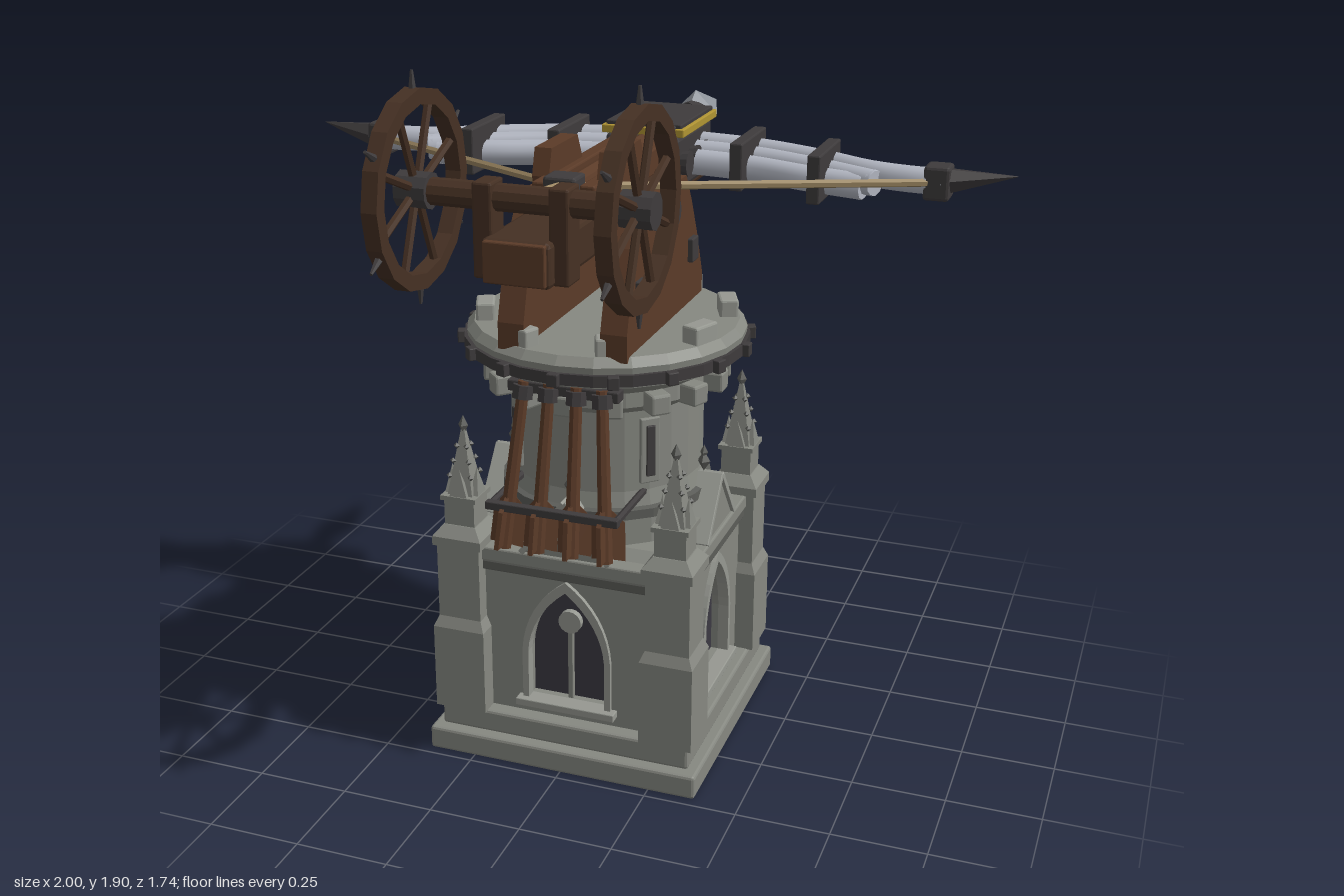
import * as THREE from 'three';
import { RoundedBoxGeometry } from 'three/addons/geometries/RoundedBoxGeometry.js';

const mat = (color, smooth) => new THREE.MeshStandardMaterial({ color, flatShading: !smooth });
const STONE = mat(0x868881), PALE = mat(0x969891), SHADE = mat(0x5c5d59), WOOD = mat(0x5b3b28), DARKWOOD = mat(0x453023),
  IRON = mat(0x3e3b3c), STEEL = mat(0x8d9299), HORN = mat(0xb3b7c2, true), GLASS = mat(0x3b3942),
  ROPE = mat(0x9a8560), GOLD = mat(0xb09433), BONE = mat(0xd8cdae, true);
const CZ = 0.095; // tower axis
const V = (x, y, z) => new THREE.Vector3(x, y, z);

function add(parent, name, geo, material, x = 0, y = 0, z = 0) {
  const m = new THREE.Mesh(geo, material);
  m.name = name;
  m.position.set(x, y, z);
  parent.add(m);
  return m;
}
function sub(parent, name, x = 0, y = 0, z = 0) {
  const g = new THREE.Group();
  g.name = name;
  g.position.set(x, y, z);
  parent.add(g);
  return g;
}
// Box with slightly chamfered edges
const box = (w, h, d) => new RoundedBoxGeometry(w, h, d, 1, Math.min(w, h, d, 0.1) * 0.12);
// Square frustum standing on y = 0
const frustum = (wTop, wBase, h) => new THREE.CylinderGeometry(wTop * Math.SQRT1_2, wBase * Math.SQRT1_2, h, 4)
  .rotateY(Math.PI / 4).translate(0, h / 2, 0);
// Rod between two points
function rod(parent, name, a, b, rA, rB, material, sides = 8) {
  const m = add(parent, name, new THREE.CylinderGeometry(rB, rA, a.distanceTo(b), sides), material);
  m.position.copy(a).lerp(b, 0.5);
  m.quaternion.setFromUnitVectors(V(0, 1, 0), b.clone().sub(a).normalize());
  return m;
}
const extrude = (shape, depth, curveSegments = 8) => new THREE.ExtrudeGeometry(shape, { depth, bevelEnabled: false, curveSegments });
// Outline given as [z, y], extruded across x and centred
const sidePlate = (pts, depth) => extrude(new THREE.Shape(pts.map(p => new THREE.Vector2(...p))), depth)
  .translate(0, 0, -depth / 2).rotateY(-Math.PI / 2);
// Pointed arch outline
function arch(Type, w, y0, ySpring, yTop) {
  const s = new Type();
  s.moveTo(-w, y0);
  s.lineTo(w, y0);
  s.lineTo(w, ySpring);
  s.quadraticCurveTo(w * 0.93, yTop - 0.08, 0, yTop);
  s.quadraticCurveTo(-w * 0.93, yTop - 0.08, -w, ySpring);
  s.closePath();
  return s;
}
function skull(parent, x, y, z) {
  const g = sub(parent, 'skull', x, y, z);
  add(g, 'cranium', new THREE.SphereGeometry(0.05, 14, 10).scale(0.95, 0.95, 1.15), BONE, 0, 0.01, 0);
  add(g, 'jaw', box(0.055, 0.045, 0.05), BONE, 0, -0.04, -0.027);
  add(g, 'nose', new THREE.ConeGeometry(0.008, 0.02, 3), IRON, 0, -0.018, -0.052);
  for (const s of [-1, 1]) add(g, 'eyeSocket', new THREE.SphereGeometry(0.014, 8, 6), IRON, s * 0.02, 0.003, -0.047);
}

// One wall with window, cornice and gable, facing +z
function wallFace(parent, k) {
  const f = sub(parent, 'wallFace');
  f.rotation.y = k * Math.PI / 2;
  const wall = new THREE.Shape([[-0.31, 0.13], [0.31, 0.13], [0.31, 0.6], [-0.31, 0.6]].map(p => new THREE.Vector2(...p)));
  wall.holes.push(arch(THREE.Path, 0.11, 0.18, 0.32, 0.515));
  add(f, 'wall', extrude(wall, 0.05), STONE, 0, 0, 0.26);
  const frame = arch(THREE.Shape, 0.125, 0.17, 0.32, 0.54);
  frame.holes.push(arch(THREE.Path, 0.108, 0.18, 0.32, 0.51));
  add(f, 'windowFrame', extrude(frame, 0.03), PALE, 0, 0, 0.292);
  add(f, 'windowSill', box(0.28, 0.022, 0.05), PALE, 0, 0.17, 0.315);
  add(f, 'windowPane', extrude(arch(THREE.Shape, 0.115, 0.17, 0.32, 0.52), 0.01), GLASS, 0, 0, 0.262);
  if (k === 2) skull(f.parent, 0, 0.275, -0.29);
  else {
    add(f, 'mullion', box(0.014, 0.22, 0.015), STONE, 0, 0.29, 0.282);
    add(f, 'roundel', new THREE.CylinderGeometry(0.032, 0.032, 0.018, 16).rotateX(Math.PI / 2), PALE, 0, 0.41, 0.284);
  }
  add(f, 'corniceShadow', box(0.5, 0.028, 0.03), SHADE, 0, 0.558, 0.31);
  add(f, 'cornice', box(0.56, 0.04, 0.06), STONE, 0, 0.592, 0.3);
  const gable = new THREE.Shape([[-0.12, 0.61], [0.12, 0.61], [0, 0.765]].map(p => new THREE.Vector2(...p)));
  add(f, 'gable', extrude(gable, 0.09), STONE, 0, 0, 0.23);
  for (const s of [-1, 1]) {
    const c = add(f, 'gableCoping', box(0.2, 0.016, 0.11), PALE, s * 0.061, 0.69, 0.275);
    c.rotation.z = -s * 0.912;
  }
  add(f, 'gableFinial', new THREE.OctahedronGeometry(0.018).scale(1, 1.6, 1), SHADE, 0, 0.8, 0.275);
  add(f, 'gableFinialTip', new THREE.OctahedronGeometry(0.011).scale(1, 2, 1), SHADE, 0, 0.825, 0.275);
}

// Stepped corner buttress with a pinnacle
function buttress(parent, sx, sz) {
  const b = sub(parent, 'buttress', sx * 0.292, 0, sz * 0.292);
  const steps = [[0.145, 0.145, 0.13, 0.37], [0.12, 0.145, 0.37, 0.4], [0.12, 0.12, 0.4, 0.61], [0.138, 0.138, 0.61, 0.635],
    [0.09, 0.138, 0.635, 0.665], [0.085, 0.085, 0.665, 0.735], [0.1, 0.1, 0.735, 0.748], [0.008, 0.07, 0.748, 0.93]];
  for (const [wt, wb, y0, y1] of steps) add(b, 'buttressStage', frustum(wt, wb, y1 - y0), STONE, 0, y0, 0);
  add(b, 'finial', new THREE.OctahedronGeometry(0.014).scale(1, 2, 1), SHADE, 0, 0.935, 0);
  for (let i = 0; i < 4; i++) {
    const side = sub(b, 'pinnacleSide');
    side.rotation.y = i * Math.PI / 2;
    add(side, 'gablet', new THREE.ConeGeometry(0.035, 0.075, 4).rotateY(Math.PI / 4).scale(1, 1, 0.5), STONE, 0, 0.785, 0.035);
    for (let j = 0; j < 3; j++) {
      const r = 0.03 - j * 0.008;
      add(side, 'crocket', new THREE.OctahedronGeometry(0.009), SHADE, r, 0.8 + j * 0.04, r);
    }
  }
}

function buildTower(root) {
  const t = sub(root, 'tower', 0, 0, CZ);
  add(t, 'plinthLower', box(0.76, 0.066, 0.76), STONE, 0, 0.033, 0);
  add(t, 'plinthUpper', box(0.705, 0.064, 0.705), STONE, 0, 0.1, 0);
  add(t, 'core', new THREE.BoxGeometry(0.53, 0.48, 0.53), STONE, 0, 0.37, 0);
  add(t, 'roof', frustum(0.5, 0.6, 0.035), STONE, 0, 0.6, 0);
  for (let k = 0; k < 4; k++) wallFace(t, k);
  for (const sx of [-1, 1]) for (const sz of [-1, 1]) buttress(t, sx, sz);
  const ring = (pts, m, name) => add(t, name, new THREE.LatheGeometry(pts.map(p => new THREE.Vector2(...p)), 24), m);
  ring([[0.275, 0.6], [0.275, 0.71], [0.26, 0.78], [0.26, 1.0], [0.282, 1.02], [0.282, 1.06],
    [0.325, 1.09], [0.365, 1.105], [0.372, 1.16], [0.352, 1.182], [0, 1.182]], STONE, 'drum');
  ring([[0.262, 0.705], [0.285, 0.71], [0.285, 0.735], [0.262, 0.74]], SHADE, 'drumBand');
  ring([[0.36, 1.113], [0.38, 1.113], [0.38, 1.143], [0.36, 1.143]], IRON, 'ironHoop');
  const around = (n, off, fn) => {
    for (let i = 0; i < n; i++) {
      const g = sub(t, 'radialSlot');
      g.rotation.y = (i + off) * 2 * Math.PI / n;
      fn(g);
    }
  };
  around(16, 0, g => {
    add(g, 'corbel', box(0.055, 0.055, 0.06), STONE, 0, 1.035, 0.3);
    add(g, 'hoopBolt', box(0.03, 0.034, 0.024), IRON, 0, 1.128, 0.384);
  });
  around(8, 0.5, g => add(g, 'parapetBlock', box(0.085, 0.055, 0.05), PALE, 0, 1.2, 0.32));
  around(4, 0.5, g => {
    add(g, 'slitFrame', box(0.055, 0.18, 0.03), STONE, 0, 0.89, 0.252);
    add(g, 'arrowSlit', box(0.025, 0.14, 0.02), IRON, 0, 0.89, 0.262);
  });
}

// Rack of spare bolts hanging at the front
function buildRack(root) {
  const r = sub(root, 'boltRack');
  [[-0.105, -0.14], [-0.037, -0.047], [0.037, 0.047], [0.105, 0.14]].forEach(([xt, xb]) => {
    const top = V(xt, 1.09, 0.415), low = V(xb, 0.655, 0.488);
    rod(r, 'boltShaft', low, top, 0.02, 0.016, WOOD);
    rod(r, 'boltCollar', top.clone().lerp(low, 0.1), top.clone().lerp(low, 0.02), 0.028, 0.028, IRON);
    const shape = new THREE.Shape([[0, 0], [0.05, -0.01], [0.05, 0.09], [0, 0.14]].map(p => new THREE.Vector2(...p)));
    for (let i = 0; i < 3; i++) {
      const holder = sub(r, 'fletching', xb, 0.668, 0.486);
      holder.quaternion.setFromUnitVectors(V(0, 1, 0), top.clone().sub(low).normalize());
      add(holder, 'vane', extrude(shape, 0.012).translate(0, 0, -0.006), WOOD).rotation.y = -Math.PI / 2 + i * 2.094;
    }
  });
  add(r, 'rackBar', box(0.36, 0.022, 0.022), IRON, 0, 0.775, 0.5);
  add(r, 'rackTopBar', box(0.3, 0.03, 0.04), IRON, 0, 1.075, 0.4);
  for (const s of [-1, 1]) rod(r, 'rackBracket', V(s * 0.17, 0.775, 0.5), V(s * 0.17, 0.775, 0.27), 0.01, 0.01, IRON, 6);
}

function buildWheel(root, s) {
  const w = sub(root, 'wheel', s * 0.277, 1.62, 0.63);
  w.rotation.y = Math.PI / 2;
  const rim = new THREE.Shape().absarc(0, 0, 0.24, 0, Math.PI * 2, false);
  rim.holes.push(new THREE.Path().absarc(0, 0, 0.202, 0, Math.PI * 2, true));
  add(w, 'rim', extrude(rim, 0.04, 8).translate(0, 0, -0.02), DARKWOOD);
  add(w, 'hub', new THREE.CylinderGeometry(0.045, 0.045, 0.08, 10).rotateX(Math.PI / 2), IRON);
  for (let i = 0; i < 8; i++) {
    const a = (i + 0.5) * Math.PI / 4;
    rod(w, 'spoke', V(0, 0, 0), V(Math.cos(a) * 0.21, Math.sin(a) * 0.21, 0), 0.011, 0.011, DARKWOOD, 6);
  }
  for (let i = 0; i < 6; i++) {
    const a = (i + 0.5) * Math.PI / 3, p = r => V(Math.cos(a) * r, Math.sin(a) * r, 0);
    rod(w, 'rimSpike', p(0.23), p(0.28), 0.011, 0.004, IRON, 6);
  }
}

// One side of the bow: three layered staves, clamps, tip and string
function buildArm(root, s) {
  const a = sub(root, 'bowArm');
  const paths = [
    [[0.05, -0.4], [0.28, -0.375], [0.48, -0.305], [0.62, -0.235], [0.72, -0.215], [0.82, -0.215]],
    [[0.05, -0.345], [0.28, -0.325], [0.48, -0.255], [0.64, -0.18]],
    [[0.05, -0.285], [0.28, -0.265], [0.45, -0.215], [0.61, -0.18]]];
  paths.forEach((p, i) => {
    const c = new THREE.CatmullRomCurve3(p.map(([x, z]) => V(s * x, 1.545 - x * 0.012 - i * 0.012, z)));
    add(a, 'stave', new THREE.TubeGeometry(c, 24, 0.036, 10), HORN);
    const e = c.getPoint(1), back = c.getPoint(0.98);
    rod(a, 'staveEnd', back, e.clone().add(e.clone().sub(back).multiplyScalar(0.2)), 0.036, 0.034, HORN, 10);
  });
  add(a, 'clamp', box(0.036, 0.13, 0.24), IRON, s * 0.262, 1.535, -0.305);
  add(a, 'clamp', box(0.036, 0.13, 0.23), IRON, s * 0.492, 1.535, -0.23);
  add(a, 'tipBlock', box(0.068, 0.09, 0.075), IRON, s * 0.8, 1.535, -0.217);
  rod(a, 'tipSpike', V(s * 0.83, 1.54, -0.217), V(s * 1, 1.56, -0.235), 0.035, 0.001, IRON, 6);
  rod(a, 'bowString', V(s * 0.79, 1.535, -0.2), V(0, 1.595, 0.39), 0.011, 0.011, ROPE, 6);
}

function buildBallista(root) {
  const b = sub(root, 'ballista');
  const plate = [[0.42, 1.17], [0.42, 1.24], [0.39, 1.34], [0.345, 1.44], [0.275, 1.54], [-0.04, 1.54],
    [-0.09, 1.46], [-0.14, 1.36], [-0.19, 1.24], [-0.19, 1.17]];
  const cheek = [[0.3, 1.44], [0.335, 1.6], [0.315, 1.668], [0.14, 1.668], [0.105, 1.6], [0.08, 1.44]];
  for (const s of [-1, 1]) {
    add(b, 'sidePlate', sidePlate(plate, 0.07), WOOD, s * 0.137, 0, 0);
    add(b, 'cheek', sidePlate(cheek, 0.045), WOOD, s * 0.085, 0, 0);
    for (const z of [0.335, -0.085]) add(b, 'plateBolt', box(0.03, 0.065, 0.05), IRON, s * 0.172, 1.33, z);
    buildWheel(b, s);
    buildArm(b, s);
    // rails, axle brackets and head bosses
    add(b, 'rail', box(0.04, 0.07, 0.91), WOOD, s * 0.062, 1.568, -0.055);
    add(b, 'axleBracket', box(0.05, 0.23, 0.075), DARKWOOD, s * 0.095, 1.545, 0.63);
    for (const z of [-0.21, -0.285, -0.37])
      add(b, 'headBoss', new THREE.CylinderGeometry(0.03, 0.036, 0.03, 12).rotateZ(Math.PI / 2), IRON, s * 0.112, 1.53, z);
  }
  add(b, 'pivot', new THREE.CylinderGeometry(0.04, 0.04, 0.38, 12).rotateZ(Math.PI / 2), IRON, 0, 1.475, CZ);
  add(b, 'stock', box(0.17, 0.11, 1.21), DARKWOOD, 0, 1.483, 0.095);
  add(b, 'groove', box(0.09, 0.03, 0.95), WOOD, 0, 1.545, -0.03);
  add(b, 'axle', new THREE.CylinderGeometry(0.033, 0.033, 0.62, 10).rotateZ(Math.PI / 2), DARKWOOD, 0, 1.62, 0.63);
  add(b, 'stockEnd', box(0.155, 0.1, 0.03), WOOD, 0, 1.485, 0.695);
  add(b, 'stringBlock', box(0.085, 0.06, 0.075), IRON, 0, 1.595, 0.39);
  rod(b, 'drawRope', V(0, 1.6, 0.4), V(0, 1.625, 0.62), 0.011, 0.011, ROPE, 6);
  // Head housing with gilded lid
  add(b, 'headHousing', box(0.21, 0.15, 0.305), IRON, 0, 1.53, -0.325);
  add(b, 'lidTrim', box(0.235, 0.022, 0.305), GOLD, 0, 1.616, -0.332);
  add(b, 'lid', box(0.215, 0.026, 0.285), IRON, 0, 1.625, -0.332);
  skull(b, 0, 1.4, -0.425);
  // Loaded bolt
  rod(b, 'spearShaft', V(0, 1.577, 0.36), V(0, 1.577, -0.6), 0.032, 0.032, WOOD);
  rod(b, 'spearCollar', V(0, 1.577, -0.585), V(0, 1.577, -0.635), 0.042, 0.042, IRON);
  rod(b, 'spearFlare', V(0, 1.577, -0.615), V(0, 1.577, -0.655), 0.04, 0.066, STEEL, 4);
  rod(b, 'spearHead', V(0, 1.577, -0.655), V(0, 1.577, -0.865), 0.066, 0.001, STEEL, 4);
}

export function createModel() {
  const root = new THREE.Group();
  root.name = 'ballistaTower';
  buildTower(root);
  buildRack(root);
  buildBallista(root);
  return root;
}
